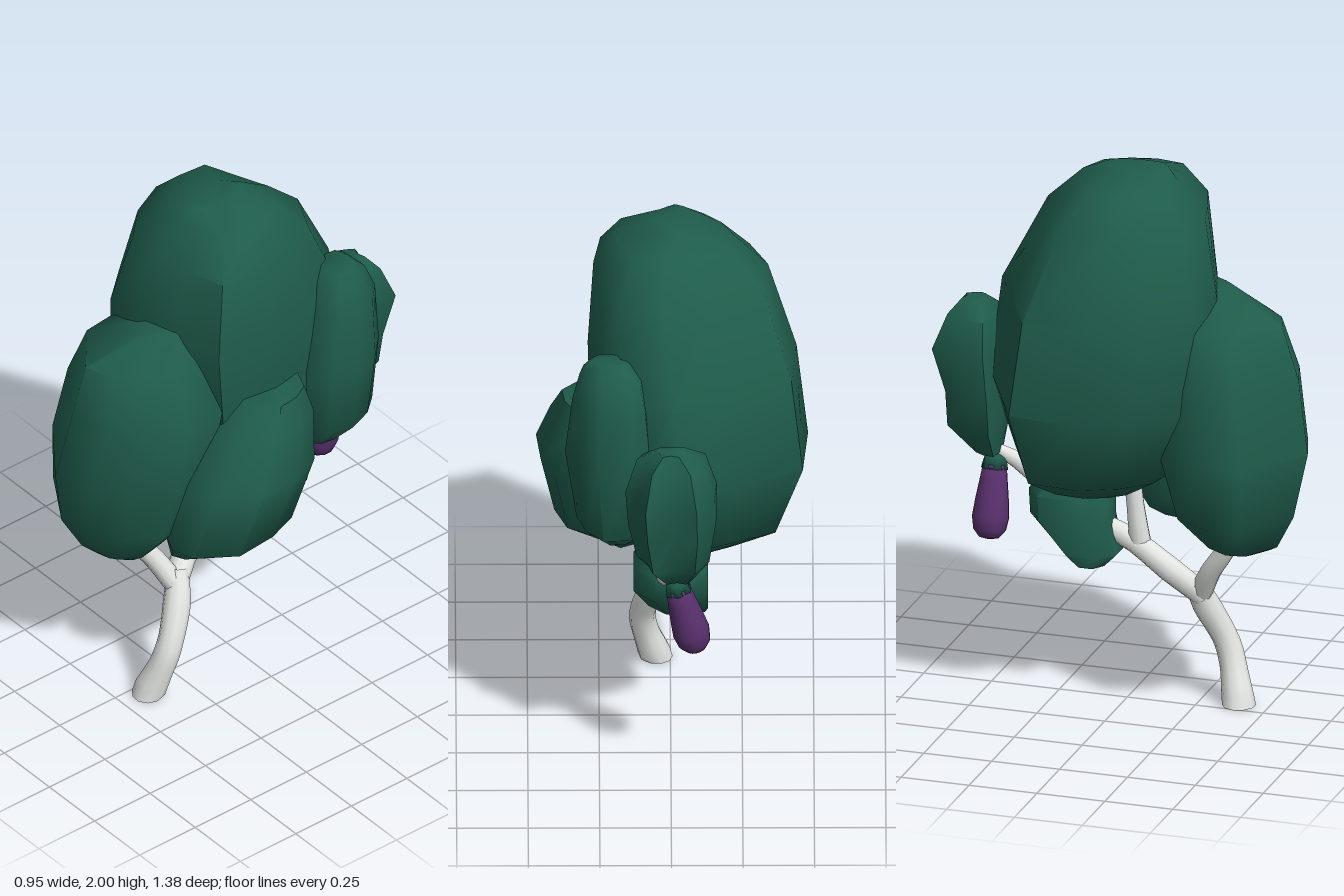
import * as THREE from 'three';
import { mergeVertices, toCreasedNormals } from 'three/addons/utils/BufferGeometryUtils.js';

const leafGreen = new THREE.MeshStandardMaterial({ color: 0x1f5c4b });
const paleBark = new THREE.MeshStandardMaterial({ color: 0xe2e5e2 });
const fruitPurple = new THREE.MeshStandardMaterial({ color: 0x57306c });
leafGreen.name = 'leafGreen';
paleBark.name = 'paleBark';
fruitPurple.name = 'fruitPurple';

function addMesh(group, name, geometry, material) {
  const mesh = new THREE.Mesh(geometry, material);
  mesh.name = name;
  group.add(mesh);
  return mesh;
}

// Faceted leaf clump: an outline in x and z (-1 to 1), fitted to
// horizontal rings [y, xMin, xMax, zMin, zMax] from bottom to top
function clump(outline, rings) {
  const pos = [], index = [], sides = outline.length;
  for (const [y, x0, x1, z0, z1] of rings) {
    for (const [u, w] of outline) {
      pos.push((x0 + x1 + u * (x1 - x0)) / 2, y, (z0 + z1 + w * (z1 - z0)) / 2);
    }
  }
  for (let i = 0; i < rings.length - 1; i++) {
    for (let j = 0; j < sides; j++) {
      const a = i * sides + j, b = i * sides + (j + 1) % sides;
      index.push(a, a + sides, b, b, a + sides, b + sides);
    }
  }
  // flat ends
  const top = (rings.length - 1) * sides;
  for (let j = 1; j < sides - 1; j++) {
    index.push(0, j, j + 1, top, top + j + 1, top + j);
  }
  const geo = new THREE.BufferGeometry();
  geo.setAttribute('position', new THREE.Float32BufferAttribute(pos, 3));
  geo.setIndex(index);
  return toCreasedNormals(geo, 1.0);
}

// Tapered tube along a smooth path; radii are spread evenly along it
function limb(points, radii, flatBase = false) {
  const curve = new THREE.CatmullRomCurve3(points.map((p) => new THREE.Vector3(...p)));
  const steps = 18, sides = 10;
  const tube = new THREE.TubeGeometry(curve, steps, 1, sides);
  const pos = tube.attributes.position, v = new THREE.Vector3();
  for (let i = 0; i <= steps; i++) {
    const c = curve.getPointAt(i / steps);
    const f = (i / steps) * (radii.length - 1), k = Math.min(Math.floor(f), radii.length - 2);
    const r = THREE.MathUtils.lerp(radii[k], radii[k + 1], f - k);
    for (let j = 0; j <= sides; j++) {
      const n = i * (sides + 1) + j;
      v.fromBufferAttribute(pos, n).sub(c).multiplyScalar(r).add(c);
      if (flatBase && i === 0) v.y = 0;
      pos.setXYZ(n, v.x, v.y, v.z);
    }
  }
  // weld the seam so the bark shades smoothly
  tube.deleteAttribute('uv');
  tube.deleteAttribute('normal');
  const geo = mergeVertices(tube, 1e-4);
  geo.computeVertexNormals();
  return geo;
}

const lathe = (profile, sides) =>
  new THREE.LatheGeometry(profile.map((p) => new THREE.Vector2(...p)), sides);

export function createModel() {
  const model = new THREE.Group();
  model.name = 'fruitTree';

  // Leaf clumps
  addMesh(model, 'crown', clump(
    [[1, 0.18], [0.92, 0.72], [0.43, 0.88], [0, 1], [-0.48, 0.9], [-0.79, 0.58], [-1, 0.13],
      [-0.95, -0.48], [-0.32, -0.76], [0.2, -1], [0.69, -0.76], [0.9, -0.3]],
    [[0.81, -0.22, 0.08, -0.28, 0.06], [0.9, -0.38, 0.2, -0.4, 0.2],
      [1.18, -0.48, 0.28, -0.5, 0.33], [1.52, -0.44, 0.29, -0.46, 0.36],
      [1.83, -0.34, 0.27, -0.3, 0.3], [1.95, -0.22, 0.19, -0.17, 0.2],
      [2.0, -0.07, 0.04, -0.07, 0.16]]), leafGreen);
  addMesh(model, 'frontClump', clump(
    [[1, 0], [0.65, 0.5], [0.32, 0.83], [-0.16, 1], [-0.94, 0.35], [-1, -0.2],
      [-0.7, -0.85], [0.1, -1], [0.9, -0.68]],
    [[0.63, -0.12, 0.06, 0.4, 0.54], [0.66, -0.22, 0.1, 0.34, 0.58],
      [0.79, -0.34, 0.2, 0.24, 0.65], [1.02, -0.34, 0.25, 0.16, 0.695],
      [1.28, -0.3, 0.28, 0.14, 0.65], [1.47, -0.23, 0.19, 0.16, 0.59],
      [1.57, -0.04, 0.1, 0.22, 0.38]]), leafGreen);
  addMesh(model, 'sideClump', clump(
    [[1, 0.37], [0.55, 0.88], [0.1, 1], [-0.7, 0.75], [-1, 0], [-0.6, -0.8],
      [0.1, -1], [0.7, -0.73], [0.93, -0.25]],
    [[0.65, 0.1, 0.2, 0.08, 0.3], [0.68, 0.06, 0.27, 0.01, 0.39],
      [0.77, 0.03, 0.42, -0.07, 0.44], [1.02, 0.02, 0.47, -0.14, 0.38],
      [1.2, 0.04, 0.42, -0.15, 0.24], [1.3, 0.1, 0.38, -0.11, 0.14]]), leafGreen);
  addMesh(model, 'backSideClump', clump(
    [[1, 0.1], [0.87, 0.7], [0.5, 1], [-0.7, 0.9], [-1, 0], [-0.93, -0.7],
      [-0.55, -0.95], [0.25, -1], [0.72, -0.55]],
    [[0.92, 0.13, 0.26, -0.36, -0.2], [1.0, 0.08, 0.33, -0.465, -0.16],
      [1.27, 0.06, 0.37, -0.48, -0.15], [1.5, 0.08, 0.345, -0.47, -0.2],
      [1.6, 0.1, 0.32, -0.43, -0.23], [1.65, 0.15, 0.28, -0.38, -0.27]]), leafGreen);
  addMesh(model, 'backClump', clump(
    [[1, 0.33], [0.8, 0.85], [-0.2, 1], [-1, 0.83], [-0.95, -0.1], [-0.56, -1],
      [0, -0.75], [0.56, -1], [0.75, -0.1]],
    [[0.87, -0.08, 0.04, -0.54, -0.46], [0.97, -0.14, 0.12, -0.635, -0.45],
      [1.1, -0.16, 0.15, -0.64, -0.45], [1.25, -0.16, 0.16, -0.69, -0.46],
      [1.38, -0.12, 0.12, -0.64, -0.48], [1.43, -0.05, 0.05, -0.6, -0.53]]), leafGreen);
  addMesh(model, 'lowClump', clump(
    [[1, 0.41], [0.41, 1], [-0.41, 1], [-1, 0.41], [-1, -0.6], [-0.41, -1], [0.41, -1], [1, -0.41]],
    [[0.51, -0.12, 0.03, -0.16, -0.06], [0.55, -0.13, 0.08, -0.22, -0.02],
      [0.67, -0.13, 0.13, -0.34, -0.06], [0.76, -0.13, 0.13, -0.345, -0.06],
      [0.84, -0.09, 0.09, -0.29, -0.12]]), leafGreen);

  // Trunk and branches
  const wood = new THREE.Group();
  wood.name = 'wood';
  model.add(wood);
  addMesh(wood, 'trunk', limb(
    [[0.05, 0, 0.395], [0.098, 0.2, 0.34], [0.06, 0.36, 0.27], [0.02, 0.46, 0.24]],
    [0.06, 0.048, 0.046, 0.05, 0.04], true), paleBark);
  const base = addMesh(wood, 'trunkBase', new THREE.CircleGeometry(0.058, 12), paleBark);
  base.rotation.x = Math.PI / 2;
  base.position.set(0.05, 0.001, 0.395);
  addMesh(wood, 'frontBranch', limb(
    [[0.04, 0.4, 0.255], [-0.01, 0.51, 0.31], [-0.04, 0.62, 0.38], [-0.06, 0.75, 0.42]],
    [0.04, 0.036, 0.03]), paleBark);
  addMesh(wood, 'longBranch', limb(
    [[0.04, 0.4, 0.265], [-0.01, 0.5, 0.16], [0, 0.59, 0.02], [0.02, 0.64, -0.12],
      [0.02, 0.73, -0.27], [0.01, 0.82, -0.38], [-0.01, 0.885, -0.5]],
    [0.042, 0.045, 0.04, 0.038, 0.037, 0.036, 0.018]), paleBark);
  addMesh(wood, 'middleBranch', limb(
    [[0, 0.57, 0.05], [-0.01, 0.67, 0.04], [-0.02, 0.88, 0.02]],
    [0.04, 0.032, 0.03]), paleBark);
  addMesh(wood, 'backBranch', limb(
    [[0.02, 0.78, -0.33], [0.05, 0.88, -0.37], [0.14, 1.03, -0.34]],
    [0.034, 0.028, 0.024]), paleBark);

  // Hanging fruit with its leafy cap
  const fruit = new THREE.Group();
  fruit.name = 'fruit';
  fruit.position.set(-0.015, 0.85, -0.48);
  fruit.rotation.z = -0.26;
  model.add(fruit);
  addMesh(fruit, 'fruitBody', lathe(
    [[0, -0.295], [0.035, -0.288], [0.058, -0.26], [0.066, -0.215], [0.059, -0.15],
      [0.049, -0.08], [0.042, -0.03], [0, -0.015]], 14), fruitPurple);
  addMesh(fruit, 'fruitCap', lathe(
    [[0, -0.055], [0.05, -0.045], [0.04, -0.002], [0.015, 0.015], [0, 0.03]], 6), leafGreen);

  return model;
}
